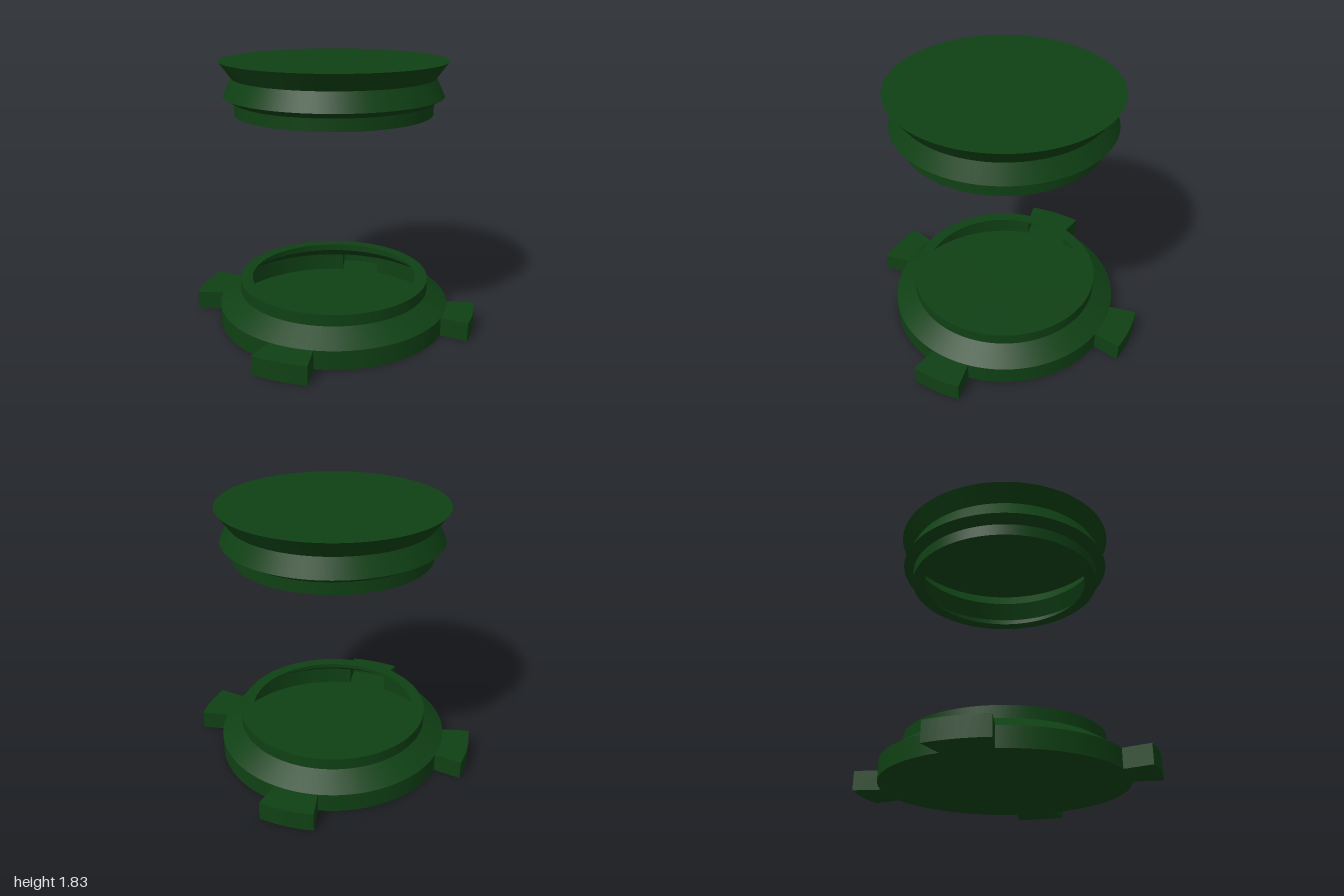
import * as THREE from 'three';

const BODY_R = 0.81, TAB_R = 1.0, TAB_H = 0.13, SEGMENTS = 128;
// start and end angle of each tab, degrees from +x towards +z
const TABS = [[-9.2, 10.4], [83.1, 104.5], [167.9, 190.9], [259.4, 280.6]];
const rad = THREE.MathUtils.degToRad;

const material = new THREE.MeshStandardMaterial({ color: 0x0f4014, side: THREE.DoubleSide });

function addMesh(group, name, geometry) {
  const mesh = new THREE.Mesh(geometry, material);
  mesh.name = name;
  group.add(mesh);
  return mesh;
}

// Thin turned shell; every band is its own lathe so the edges stay sharp
function addShell(group, name, profile) {
  const shell = new THREE.Group();
  shell.name = name;
  for (let i = 0; i < profile.length - 1; i++) {
    const points = [profile[i], profile[i + 1]].map(([r, y]) => new THREE.Vector2(r, y));
    addMesh(shell, name + 'Band' + (i + 1), new THREE.LatheGeometry(points, SEGMENTS));
  }
  group.add(shell);
}

// Upright curved wall between two angles
function addWall(group, name, r, from, to) {
  const steps = Math.max(4, Math.ceil((to - from) / 3));
  const geometry = new THREE.CylinderGeometry(r, r, TAB_H, steps, 1, true, Math.PI / 2 - rad(to), rad(to - from));
  addMesh(group, name, geometry).position.y = TAB_H / 2;
}

// Flat ring sector facing up or down
function addSector(group, name, y, from, to, up) {
  const geometry = new THREE.RingGeometry(BODY_R, TAB_R, 12, 1, up ? -rad(to) : rad(from), rad(to - from));
  geometry.rotateX(up ? -Math.PI / 2 : Math.PI / 2);
  addMesh(group, name, geometry).position.y = y;
}

// Hollow tab, open towards the inside of the base
function addTab(group, from, to) {
  const tab = new THREE.Group();
  tab.name = 'tab';
  addSector(tab, 'tabTop', TAB_H, from, to, true);
  addSector(tab, 'tabBottom', 0, from, to, false);
  addWall(tab, 'tabOuterWall', TAB_R, from, to);
  [[from, Math.PI], [to, 0]].forEach(([angle, flip]) => {
    const a = rad(angle), r = (BODY_R + TAB_R) / 2;
    const side = addMesh(tab, 'tabSide', new THREE.PlaneGeometry(TAB_R - BODY_R, TAB_H));
    side.position.set(r * Math.cos(a), TAB_H / 2, r * Math.sin(a));
    side.rotation.y = -a + flip;
  });
  group.add(tab);
}

export function createModel() {
  const model = new THREE.Group();
  model.name = 'containerWithLid';

  // Base: flat floor, wall interrupted by the tabs, sloping shoulder, neck and rim
  const base = new THREE.Group();
  base.name = 'base';
  addMesh(base, 'floor', new THREE.CircleGeometry(BODY_R, SEGMENTS).rotateX(Math.PI / 2));
  addShell(base, 'shoulderAndNeck', [[BODY_R, TAB_H], [0.665, 0.225], [0.665, 0.305], [0.58, 0.305]]);
  TABS.forEach(([from, to], i) => {
    addTab(base, from, to);
    const next = TABS[(i + 1) % TABS.length][0] + (i === TABS.length - 1 ? 360 : 0);
    addWall(base, 'baseWall', BODY_R, to, next);
  });
  model.add(base);

  // Lid: hollow, grooved around the side, open underneath
  const lid = new THREE.Group();
  lid.name = 'lid';
  addShell(lid, 'lidSide', [[0.58, 1.48], [0.665, 1.48], [0.665, 1.56], [0.735, 1.6], [0.677, 1.72], [0.757, 1.83]]);
  addMesh(lid, 'lidTop', new THREE.CircleGeometry(0.757, SEGMENTS).rotateX(-Math.PI / 2)).position.y = 1.83;
  model.add(lid);

  return model;
}
